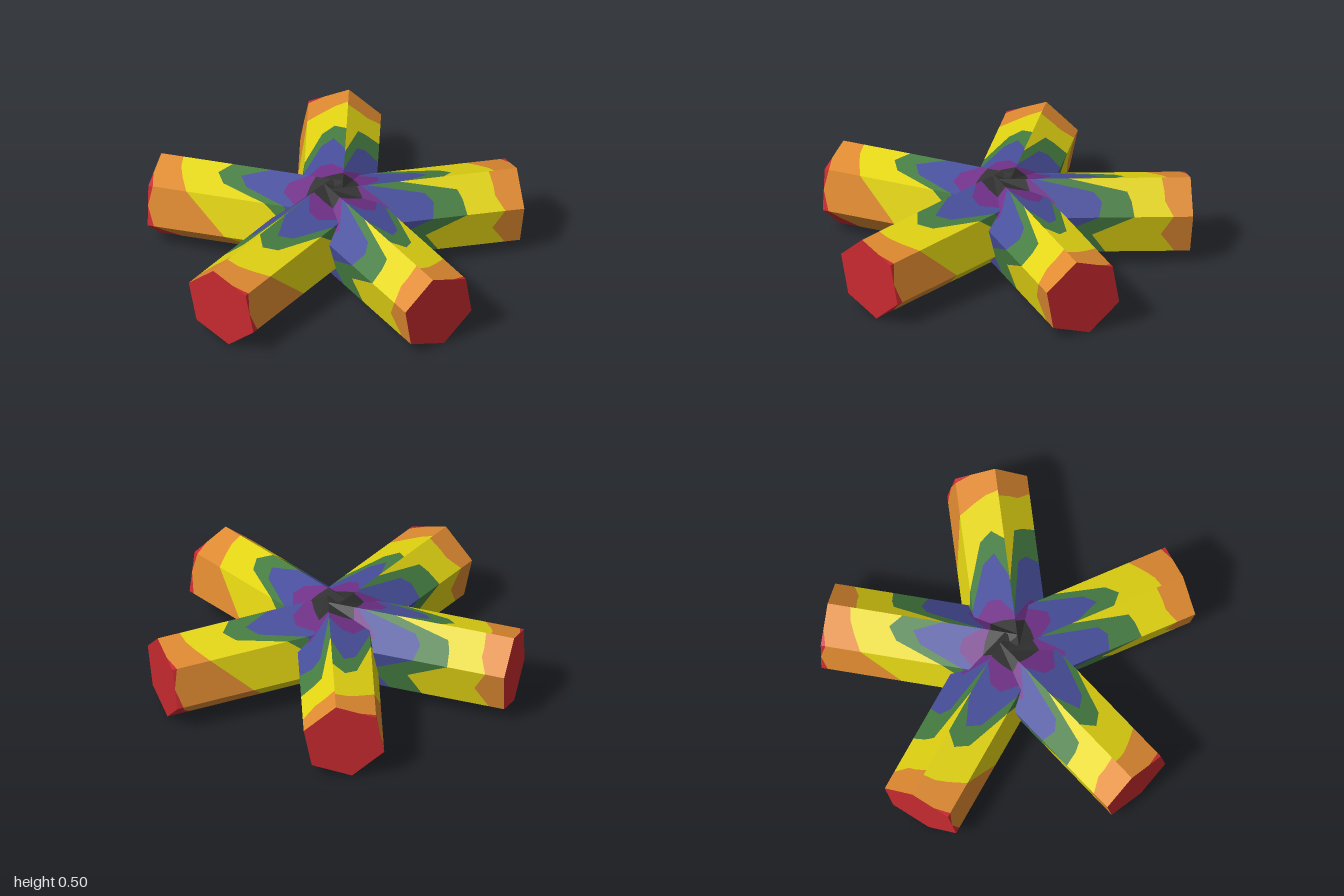
import * as THREE from 'three';

const RADIUS = 0.227, START = -0.04, LENGTH = 0.985, ROLL = THREE.MathUtils.degToRad(41);

// Colour bands, from the hub outwards
const BANDS = [
  ['hubCharcoal', 0x303030], ['purple', 0x703088], ['blue', 0x484f9c], ['green', 0x467d42],
  ['yellow', 0xe3d512], ['orange', 0xdf8a30], ['red', 0xcc2b30],
];

// [position round the hexagon in sides, where each band ends along the arm]
const CUTS = [
  [0, 0.1, 0.14, 0.22, 0.33, 0.77, 0.96],      // upper right edge
  [0.4, 0.12, 0.25, 0.46, 0.59, 0.82, 0.985],  // top face
  [0.7, 0.12, 0.24, 0.51, 0.64, 0.85, 0.985],
  [1, 0.11, 0.15, 0.36, 0.58, 0.86, 0.985],    // ridge, top side
  [1, 0.1, 0.12, 0.15, 0.33, 0.83, 0.985],     // ridge, left side
  [1.35, 0.12, 0.2, 0.46, 0.64, 0.84, 0.985],  // upper left face
  [1.6, 0.12, 0.25, 0.5, 0.66, 0.84, 0.985],
  [2, 0.1, 0.2, 0.48, 0.67, 0.88, 0.985],      // left edge
  [2.5, 0.1, 0.15, 0.25, 0.45, 0.82, 0.985],   // left face
  [3, 0.1, 0.17, 0.35, 0.53, 0.9, 0.985],      // lower left edge
  [4, 0.02, 0.04, 0.06, 0.08, 0.45, 0.86],     // keel
  [4.5, 0.02, 0.04, 0.06, 0.08, 0.5, 0.92],    // lower right face
  [5, 0.03, 0.06, 0.09, 0.12, 0.55, 0.95],     // right edge
  [5.5, 0.05, 0.1, 0.15, 0.2, 0.66, 0.985],    // right face
  [6, 0.1, 0.14, 0.22, 0.33, 0.77, 0.96],      // back to the upper right edge
];

// Point on the hexagonal arm: k counts sides, s is the distance along the arm
function armPoint(k, s) {
  const corner = (i) => new THREE.Vector3(
    Math.cos(ROLL + i * Math.PI / 3) * RADIUS, Math.sin(ROLL + i * Math.PI / 3) * RADIUS, s);
  const side = Math.floor(k);
  return corner(side).lerp(corner(side + 1), k - side);
}

function addQuad(out, k0, k1, a0, a1, b0, b1) {
  const [p, q, r, t] = [armPoint(k0, a0), armPoint(k1, a1), armPoint(k1, b1), armPoint(k0, b0)];
  for (const v of [p, q, r, p, r, t]) out.push(v.x, v.y, v.z);
}

function toGeometry(points) {
  const g = new THREE.BufferGeometry();
  g.setAttribute('position', new THREE.Float32BufferAttribute(points, 3));
  g.computeVertexNormals();
  return g;
}

function bandGeometry(band) {
  const points = [];
  const start = (c) => (band === 0 ? START : c[band]);
  const end = (c) => (band === BANDS.length - 1 ? LENGTH : c[band + 1]);
  for (let i = 0; i < CUTS.length - 1; i++) {
    const c0 = CUTS[i], c1 = CUTS[i + 1];
    // Skip the doubled ridge and the plain underside
    if (c0[0] === c1[0] || c0[0] === 3) continue;
    addQuad(points, c0[0], c1[0], start(c0), start(c1), end(c0), end(c1));
  }
  return toGeometry(points);
}

export function createModel() {
  const model = new THREE.Group();
  model.name = 'fiveArmStar';

  const material = (name, color) => {
    const m = new THREE.MeshStandardMaterial({ color });
    m.name = name;
    return m;
  };
  const bandMaterials = BANDS.map(([name, color]) => material(name, color));
  const bandGeometries = BANDS.map((_, i) => bandGeometry(i));
  const grey = material('undersideGrey', 0xe4e4e4);

  // Plain bottom face and flat end cap shared by all arms
  const bottom = [];
  addQuad(bottom, 3, 4, START, START, LENGTH, LENGTH);
  const bottomGeometry = toGeometry(bottom);
  const capGeometry = new THREE.CircleGeometry(RADIUS, 6, ROLL);

  for (let i = 0; i < 5; i++) {
    const arm = new THREE.Group();
    arm.name = `arm${i + 1}`;
    const add = (name, geometry, mat) => {
      const mesh = new THREE.Mesh(geometry, mat);
      mesh.name = name;
      arm.add(mesh);
      return mesh;
    };
    bandGeometries.forEach((g, b) => add(`${BANDS[b][0]}Band`, g, bandMaterials[b]));
    add('underside', bottomGeometry, grey);
    add('endCap', capGeometry, bandMaterials[6]).position.z = LENGTH;

    // Arms fan out evenly and droop slightly towards their ends
    arm.rotation.order = 'YXZ';
    arm.rotation.set(0.053, THREE.MathUtils.degToRad(-2.4 + 72 * i), 0);
    arm.position.set(0.004, 0.275, -0.024);
    model.add(arm);
  }
  return model;
}
